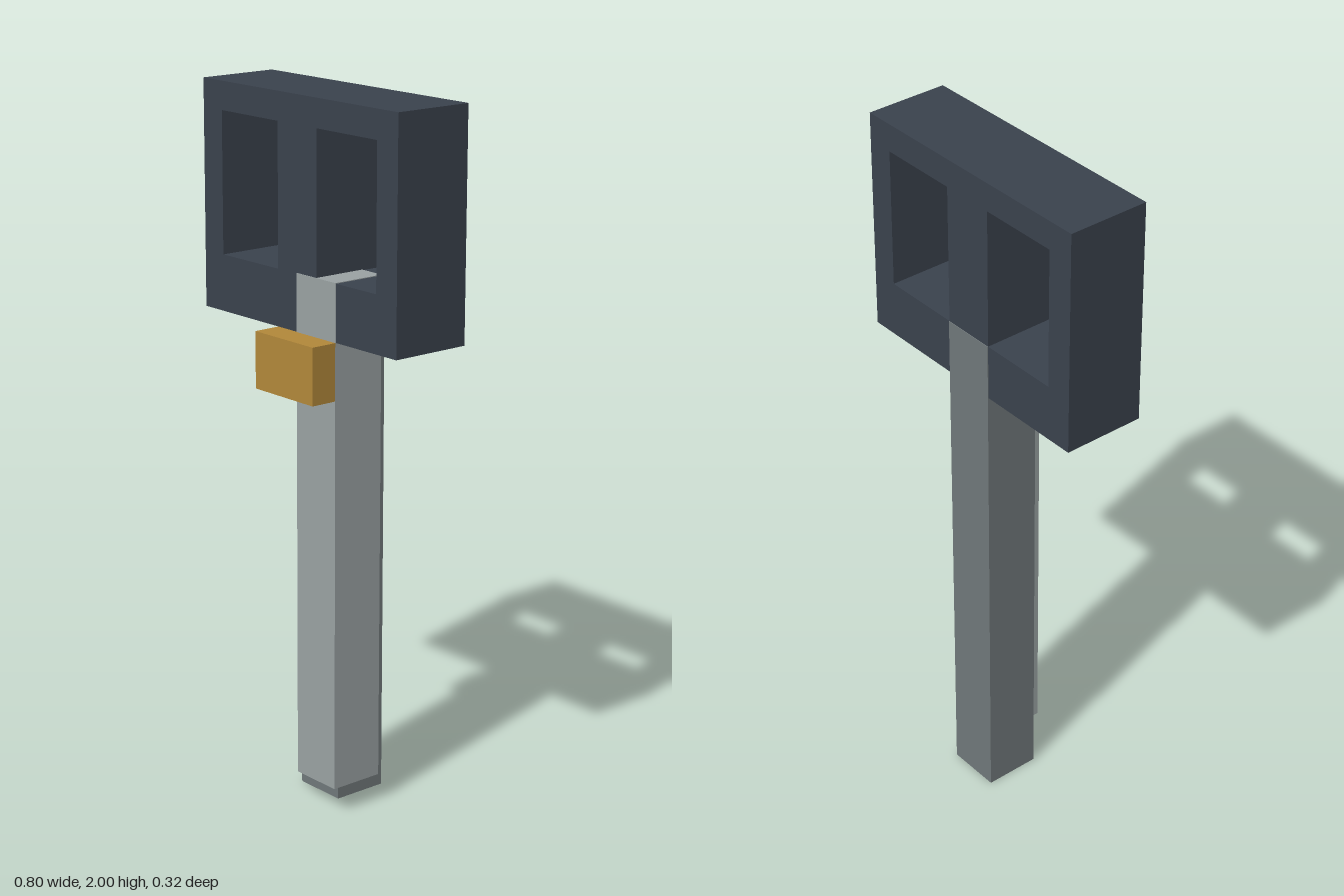
import * as THREE from 'three';

const material = (name, color) => new THREE.MeshStandardMaterial({ name, color });

export function createModel() {
  const group = new THREE.Group();
  const slate = material('slate', 0x3a424d);
  const lightSteel = material('light steel', 0x9aa2a3);
  const darkSteel = material('dark steel', 0x70787a);
  const brass = material('brass', 0xb2883a);

  const add = (name, geometry, mat) => {
    const mesh = new THREE.Mesh(geometry, mat);
    mesh.name = name;
    group.add(mesh);
    return mesh;
  };

  // Box given by its minimum and maximum corners
  const addBox = (name, mat, [x0, y0, z0], [x1, y1, z1]) => {
    const mesh = add(name, new THREE.BoxGeometry(x1 - x0, y1 - y0, z1 - z0), mat);
    mesh.position.set((x0 + x1) / 2, (y0 + y1) / 2, (z0 + z1) / 2);
  };

  const rectangle = (path, x0, y0, x1, y1) =>
    path.moveTo(x0, y0).lineTo(x1, y0).lineTo(x1, y1).lineTo(x0, y1).closePath();

  // Handle block with two window openings
  const frame = rectangle(new THREE.Shape(), -0.4, 1.36, 0.4, 2);
  for (const x of [-0.32, 0.08]) {
    frame.holes.push(rectangle(new THREE.Path(), x, 1.52, x + 0.24, 1.92));
  }
  const handle = new THREE.ExtrudeGeometry(frame, { depth: 0.24, bevelEnabled: false });
  handle.translate(0, 0, -0.16);
  add('handle', handle, slate);

  // Two overlapping shafts, set a hair proud of the handle faces
  const proud = 0.002;
  addBox('frontShaft', lightSteel, [0, 0.08, -0.08], [0.16, 1.52 + proud, 0.08 + proud]);
  addBox('rearShaft', darkSteel, [-0.08, 0, -0.16 - proud], [0.08, 1.52, 0]);

  // Collar on the front of the shafts
  addBox('collar', brass, [-0.08, 1.2, 0.08], [0.16, 1.36, 0.16]);

  return group;
}
